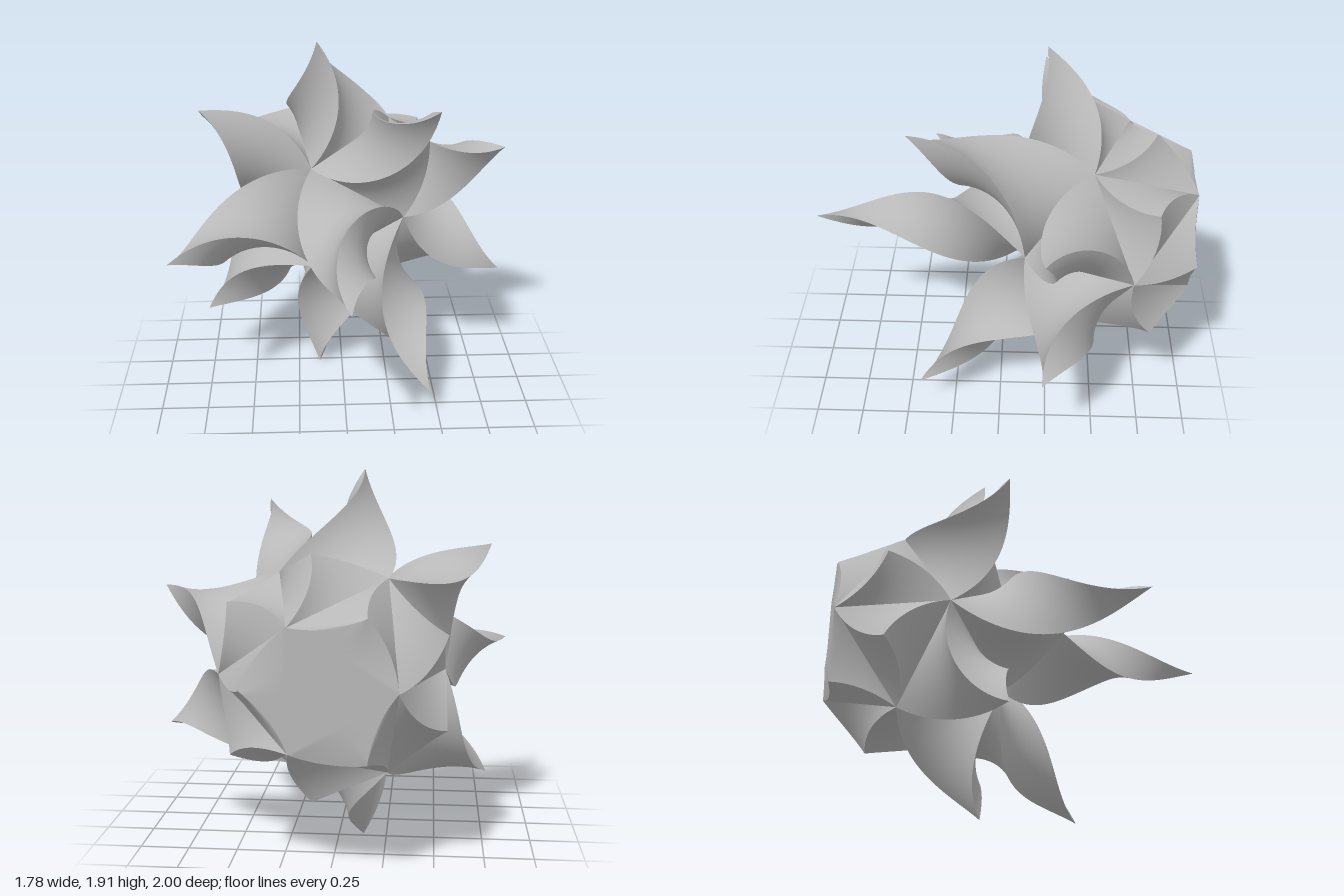
import * as THREE from 'three';

const EDGE = 0.578;               // edge of the core icosahedron
const CENTRE = new THREE.Vector3(0, 0.957, -0.565);
const BACK = -1;                  // flat base plane at the back
const TWIST = Math.PI / 1.13;     // spire twist per unit of height

// Spire height for each ring of faces, from the front face to the back face
const RINGS = [
  { dir: 1, height: 1.128, name: 'frontSpire' },
  { dir: 0.745, height: 0.901, name: 'innerSpire' },
  { dir: 0.333, height: 0.586, name: 'middleSpire' },
  { dir: -0.333, height: 0.195, name: 'outerSpire' },
  { dir: -0.745, height: 0.142, name: 'lowSpire' },
  { dir: -1, height: 0, name: 'backFace' },
];

// Icosahedron corners in four layers along z, with a face to the front
function coreCorners() {
  const layers = [[0.5774, 0.7558, 0], [0.9342, 0.1784, 60], [0.9342, -0.1784, 0], [0.5774, -0.7558, 60]];
  const corners = [];
  for (const [r, z, turn] of layers) {
    for (let k = 0; k < 3; k++) {
      const a = THREE.MathUtils.degToRad(turn + k * 120);
      corners.push(new THREE.Vector3(r * Math.cos(a), r * Math.sin(a), z).multiplyScalar(EDGE));
    }
  }
  return corners;
}

// Every triple of mutually adjacent corners, ordered counter-clockwise from outside
function coreFaces(v) {
  const faces = [];
  const near = (a, b) => v[a].distanceTo(v[b]) < EDGE * 1.1;
  for (let a = 0; a < 12; a++) for (let b = a + 1; b < 12; b++) for (let c = b + 1; c < 12; c++) {
    if (!near(a, b) || !near(b, c) || !near(a, c)) continue;
    const turn = v[b].clone().sub(v[a]).cross(v[c].clone().sub(v[a]));
    faces.push(turn.dot(v[a]) > 0 ? [v[a], v[b], v[c]] : [v[a], v[c], v[b]]);
  }
  return faces;
}

// Triangle section shrinking to a point while it turns about the face normal
function spireGeometry(face, height) {
  const rows = 48, cols = 10;
  const mid = face[0].clone().add(face[1]).add(face[2]).divideScalar(3);
  const normal = mid.clone().normalize();
  const pos = [], index = [];
  for (let side = 0; side < 3; side++) {
    const p = face[side].clone().sub(mid);
    const q = face[(side + 1) % 3].clone().sub(mid);
    const start = pos.length / 3;
    for (let i = 0; i <= rows; i++) {
      const t = Math.min(i / rows, 0.9995);
      for (let j = 0; j <= cols; j++) {
        const point = p.clone().lerp(q, j / cols).multiplyScalar(1 - t)
          .applyAxisAngle(normal, TWIST * height * t)
          .add(mid).addScaledVector(normal, height * t).add(CENTRE);
        pos.push(point.x, point.y, Math.max(point.z, BACK));
      }
    }
    for (let i = 0; i < rows; i++) for (let j = 0; j < cols; j++) {
      const a = start + i * (cols + 1) + j, c = a + cols + 1;
      index.push(a, a + 1, c + 1, a, c + 1, c);
    }
  }
  const geometry = new THREE.BufferGeometry();
  geometry.setAttribute('position', new THREE.Float32BufferAttribute(pos, 3));
  geometry.setIndex(index);
  geometry.computeVertexNormals();
  return geometry;
}

export function createModel() {
  const model = new THREE.Group();
  model.name = 'twistedStar';
  const grey = new THREE.MeshStandardMaterial({ color: 0xb8b8b8, side: THREE.DoubleSide });
  grey.name = 'grey';
  for (const face of coreFaces(coreCorners())) {
    const dir = face[0].clone().add(face[1]).add(face[2]).normalize().z;
    const ring = RINGS.find(r => Math.abs(r.dir - dir) < 0.05);
    const spire = new THREE.Mesh(spireGeometry(face, ring.height), grey);
    spire.name = ring.name;
    model.add(spire);
  }
  return model;
}
